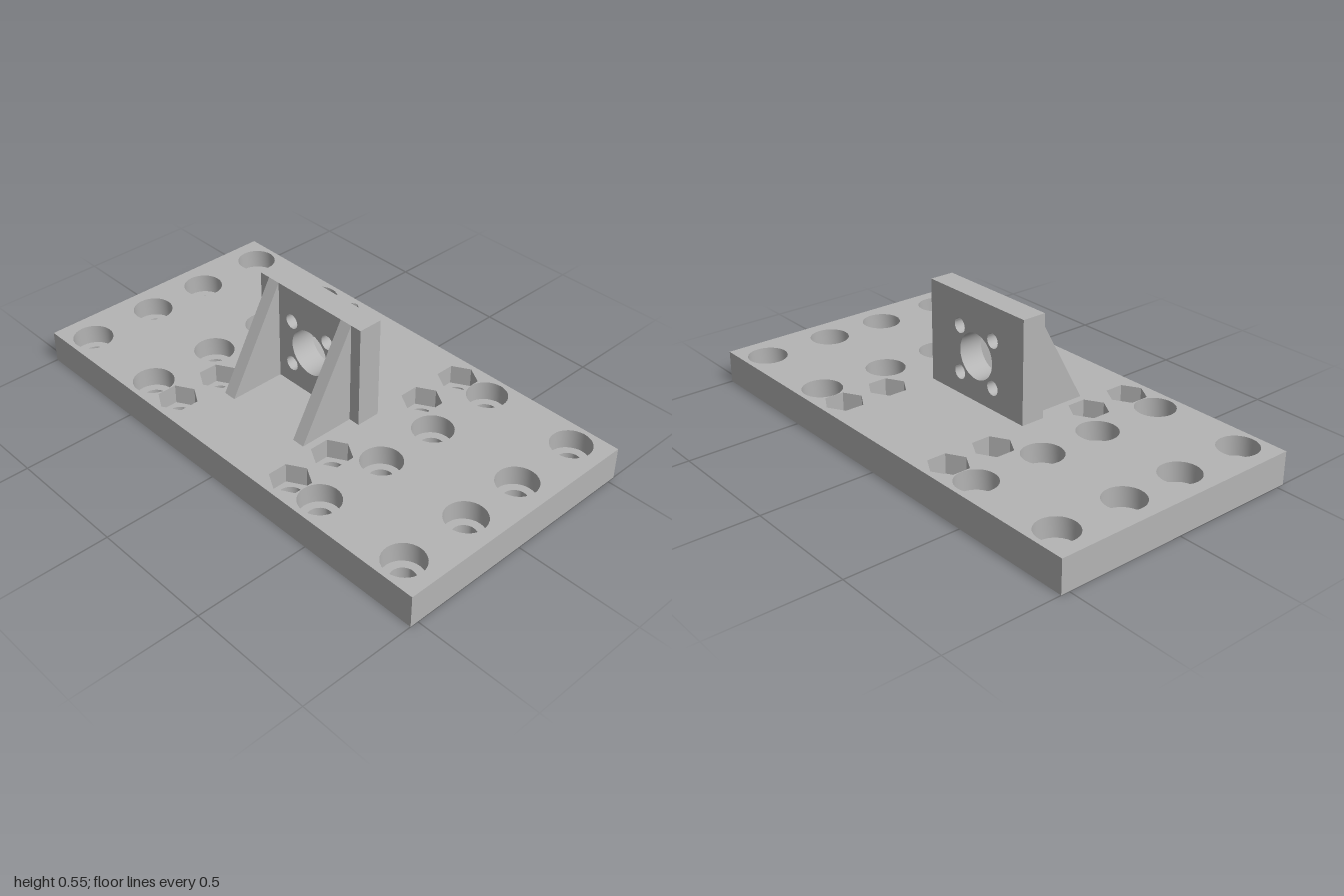
import * as THREE from 'three';
import { toCreasedNormals } from 'three/addons/utils/BufferGeometryUtils.js';

const W = 2, D = 1.067, T = 0.133;   // base plate
const FLOOR = 0.053;                 // height of the pocket floors
const BORE = 0.047, POCKET = 0.08, HEX = 0.079;
const TOP = 0.55;                    // top of the upright

const ring = (x, y, r, n) => Array.from({ length: n }, (_, i) => {
  const a = (i / n) * Math.PI * 2;
  return new THREE.Vector2(x + r * Math.sin(a), y + r * Math.cos(a));
});
const rect = (x0, y0, x1, y1) => new THREE.Shape([
  new THREE.Vector2(x0, y0), new THREE.Vector2(x1, y0),
  new THREE.Vector2(x1, y1), new THREE.Vector2(x0, y1)]);

export function createModel() {
  const grey = new THREE.MeshStandardMaterial({ color: 0xb4b4b4 });
  grey.name = 'grey';
  const model = new THREE.Group();
  model.name = 'motorMount';
  const add = (name, geometry, parent = model) => {
    const mesh = new THREE.Mesh(geometry, grey);
    mesh.name = name;
    parent.add(mesh);
    return mesh;
  };

  // Hole positions: round counterbores in four columns, hex pockets in two
  const holes = [];
  for (const sx of [-1, 1]) for (const sz of [-1, 1]) {
    for (const x of [0.467, 0.867]) for (const z of [0.133, 0.433])
      holes.push({ x: sx * x, z: sz * z, r: POCKET, n: 32, name: 'counterbore' });
    for (const z of [0.233, 0.433])
      holes.push({ x: sx * 0.317, z: sz * z, r: HEX, n: 6, name: 'hexPocket' });
  }

  // Base plate: open rim, pierced top and pierced underside
  const plate = new THREE.Group();
  plate.name = 'basePlate';
  model.add(plate);
  const rim = new THREE.BoxGeometry(W, T, D).translate(0, T / 2, 0);
  const index = Array.from(rim.index.array);
  rim.setIndex([...index.slice(0, 12), ...index.slice(24)]);
  rim.clearGroups();
  add('plateRim', rim, plate);

  const face = (pocket) => {
    const shape = rect(-W / 2, -D / 2, W / 2, D / 2);
    for (const h of holes)
      shape.holes.push(new THREE.Path(pocket ? ring(h.x, -h.z, h.r, h.n) : ring(h.x, -h.z, BORE, 32)));
    return new THREE.ShapeGeometry(shape).rotateX(-Math.PI / 2);
  };
  add('plateTop', face(true).translate(0, T, 0), plate);
  // The layout is symmetric, so turning the face over keeps the holes aligned
  add('plateUnderside', face(false).rotateX(Math.PI), plate);

  // Inward-facing wall of a hole, from y1 down to y0
  const wall = (r, n, y1, y0) => toCreasedNormals(
    new THREE.LatheGeometry([new THREE.Vector2(r, y1), new THREE.Vector2(r, y0)], n), 0.5);

  for (const h of holes) {
    const hole = new THREE.Group();
    hole.name = h.name;
    hole.position.set(h.x, 0, h.z);
    plate.add(hole);
    add('pocketWall', wall(h.r, h.n, T, FLOOR), hole);
    add('boreWall', wall(BORE, 32, FLOOR, 0), hole);
    const floor = new THREE.Shape(ring(0, 0, h.r, h.n));
    floor.holes.push(new THREE.Path(ring(0, 0, BORE, 32)));
    add('pocketFloor', new THREE.ShapeGeometry(floor).rotateX(-Math.PI / 2).translate(0, FLOOR, 0), hole);
  }

  // Upright with a large central hole and four screw holes
  const cy = 0.318, pitch = 0.095;
  const upright = rect(-0.265, T, 0.265, TOP);
  upright.holes.push(new THREE.Path(ring(0, cy, 0.093, 48)));
  for (const sx of [-1, 1]) for (const sy of [-1, 1])
    upright.holes.push(new THREE.Path(ring(sx * pitch, cy + sy * pitch, 0.03, 24)));
  const uprightGeo = new THREE.ExtrudeGeometry(upright, { depth: 0.1, bevelEnabled: false });
  add('upright', toCreasedNormals(uprightGeo.translate(0, 0, -0.05), 0.5));

  // Triangular gussets bracing the front of the upright
  const triangle = new THREE.Shape([
    new THREE.Vector2(-0.283, T), new THREE.Vector2(-0.05, T), new THREE.Vector2(-0.05, TOP)]);
  for (const side of [-1, 1]) {
    const gusset = new THREE.ExtrudeGeometry(triangle, { depth: 0.053, bevelEnabled: false });
    gusset.translate(0, 0, -0.0265).rotateY(Math.PI / 2);
    add(side > 0 ? 'leftGusset' : 'rightGusset', gusset).position.x = side * 0.192;
  }
  return model;
}
